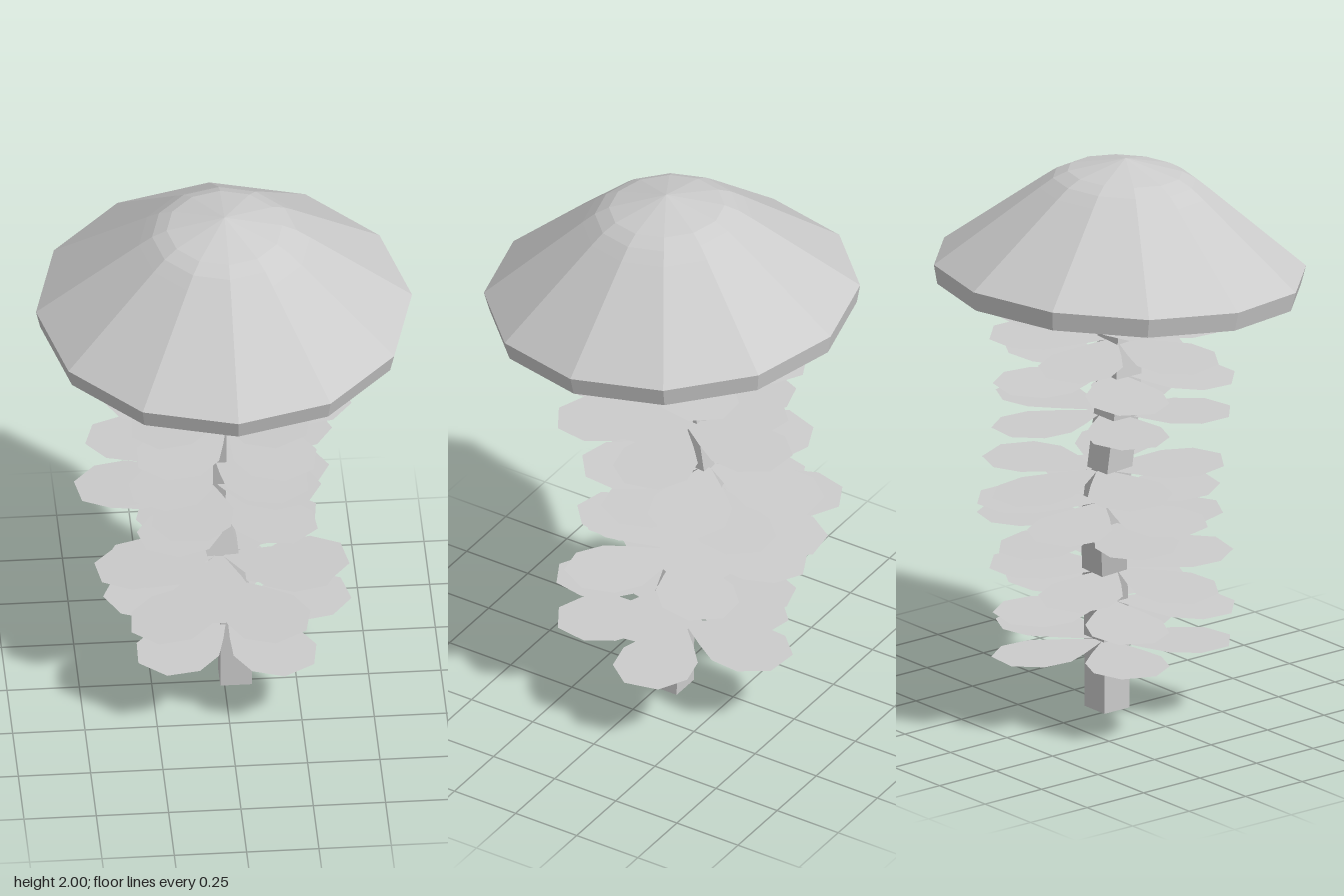
import * as THREE from 'three';

const grey = () => new THREE.MeshStandardMaterial({ color: 0xcccccc, flatShading: true, side: THREE.DoubleSide });

// Bent square stem: [x, y, z] centre of each joint
function makeStem() {
  const joints = [[0.04, 0, -0.025], [0.04, 0.34, -0.028], [-0.045, 0.715, -0.112], [-0.045, 1.15, -0.045], [0.005, 1.48, 0.01], [0.01, 1.93, 0.015]];
  const geo = new THREE.CylinderGeometry(0.0778, 0.0778, joints.length - 1, 4, joints.length - 1, false, Math.PI / 4);
  const p = geo.attributes.position;
  for (let i = 0; i < p.count; i++) {
    const j = joints[Math.round(p.getY(i) + (joints.length - 1) / 2)];
    p.setXYZ(i, p.getX(i) + j[0], j[1], p.getZ(i) + j[2]);
  }
  geo.computeVertexNormals();
  const stem = new THREE.Mesh(geo, grey());
  stem.name = 'stem';
  return stem;
}

// Hollow twelve-sided cap, tipped slightly to the front
function makeCap() {
  const profile = [[0.635, -0.068], [0.65, 0], [0.295, 0.28], [0.25, 0.314], [0.2, 0.339], [0, 0.386]];
  const cap = new THREE.Mesh(new THREE.LatheGeometry(profile.map(([r, y]) => new THREE.Vector2(r, y)), 12), grey());
  cap.name = 'cap';
  cap.position.y = 1.614;
  cap.rotation.x = 0.063;
  return cap;
}

// Flat blunt-tipped leaf outline pointing along +z once laid down
function makeLeafGeometry() {
  const half = [[0.02, 0.015], [0.14, 0.088], [0.23, 0.136], [0.34, 0.136], [0.43, 0.062]];
  const pts = [
    ...half.map(([r, w]) => new THREE.Vector2(w, -r)),
    ...half.slice().reverse().map(([r, w]) => new THREE.Vector2(-w, -r)),
  ];
  return new THREE.ShapeGeometry(new THREE.Shape(pts)).rotateX(-Math.PI / 2);
}

export function createModel() {
  const model = new THREE.Group();
  model.add(makeStem(), makeCap());

  // Whorls of five leaves: [x, y, z, turn in degrees, tilt about x, tilt about z]
  const whorls = [
    [0.015, 0.26, -0.055, 31, 0, 0],
    [0.005, 0.408, -0.045, 28, 0, 0.058],
    [-0.012, 0.525, -0.03, -10, -0.045, 0.045],
    [-0.03, 0.72, -0.125, 44, -0.058, 0],
    [-0.075, 0.803, -0.135, -9, -0.04, 0.04],
    [-0.035, 0.908, -0.125, 38, -0.058, 0],
    [0.015, 1.095, -0.055, 31, 0, 0],
    [0.005, 1.243, -0.045, 28, 0, 0.058],
    [-0.012, 1.36, -0.03, -10, -0.045, 0.045],
    [0, 1.49, -0.02, 30, 0, 0],
  ];
  const leafGeometry = makeLeafGeometry();
  const leafMaterial = grey();
  for (const [x, y, z, turn, tiltX, tiltZ] of whorls) {
    const whorl = new THREE.Group();
    whorl.name = 'leafWhorl';
    whorl.position.set(x, y, z);
    whorl.rotation.set(tiltX, 0, tiltZ);
    for (let k = 0; k < 5; k++) {
      const leaf = new THREE.Mesh(leafGeometry, leafMaterial);
      leaf.name = 'leaf';
      leaf.rotation.y = THREE.MathUtils.degToRad(turn + 72 * k);
      whorl.add(leaf);
    }
    model.add(whorl);
  }
  return model;
}
